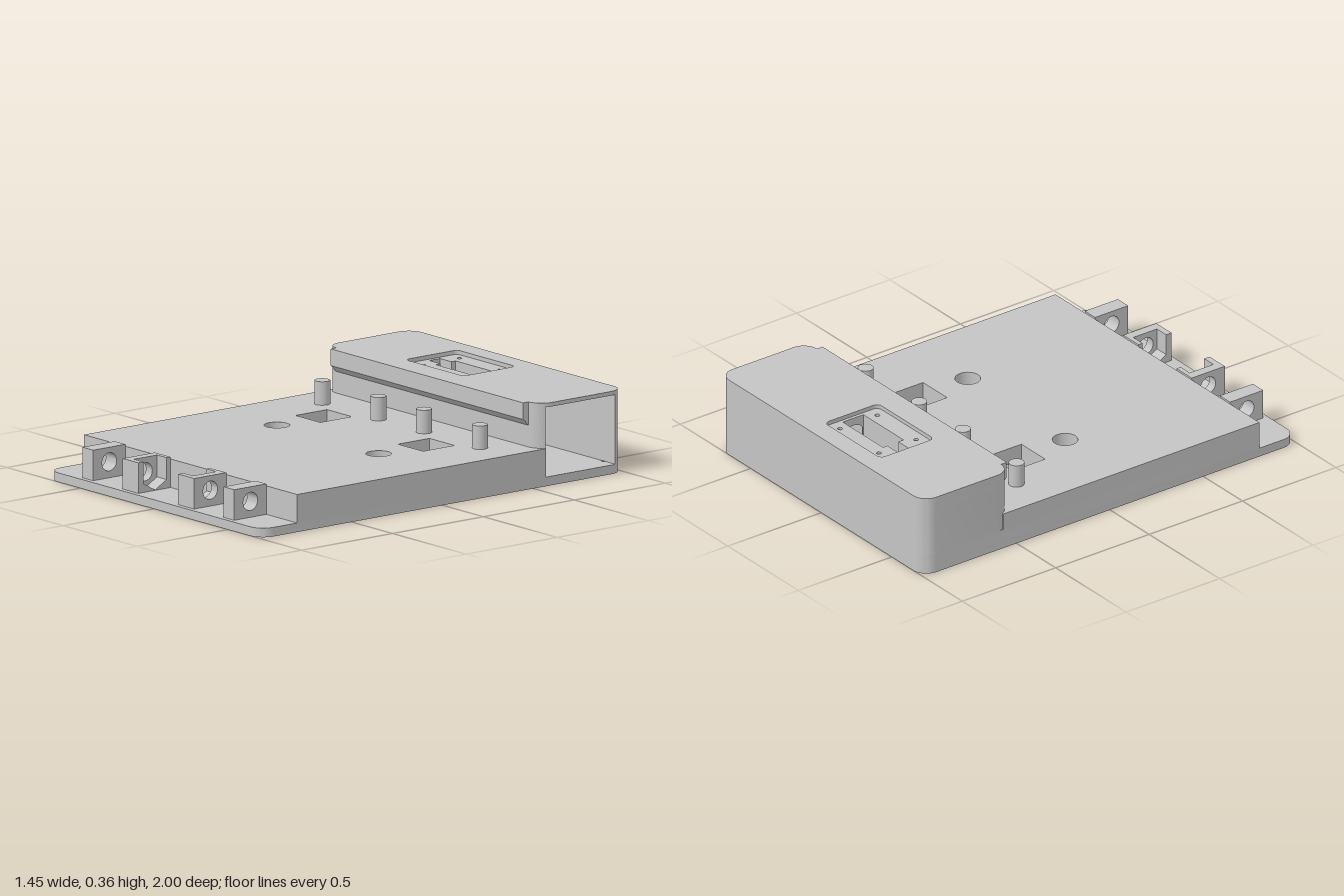
import * as THREE from 'three';
import { toCreasedNormals } from 'three/addons/utils/BufferGeometryUtils.js';

const grey = new THREE.MeshStandardMaterial({ color: 0xc4c4c4 });
grey.name = 'grey plastic';

// Plan outlines are given as [x, z], side profiles as [z, y]
const plan = (pts) => pts.map(([x, z]) => new THREE.Vector2(x, -z));
const side = (pts) => pts.map(([z, y]) => new THREE.Vector2(-z, y));
const rect = (x0, x1, z0, z1) => [[x0, z0], [x1, z0], [x1, z1], [x0, z1]];

// Points of an arc, angles in degrees
function arc(cx, cy, r, a0, a1, n = 10) {
  return Array.from({ length: n + 1 }, (_, i) => {
    const a = THREE.MathUtils.degToRad(a0 + ((a1 - a0) * i) / n);
    return [cx + r * Math.cos(a), cy + r * Math.sin(a)];
  });
}
const circle = (cx, cy, r, n = 32) => arc(cx, cy, r, 0, 360, n).slice(0, n);
const roundRect = (x0, x1, z0, z1, r) => [
  ...arc(x1 - r, z1 - r, r, 0, 90), ...arc(x0 + r, z1 - r, r, 90, 180),
  ...arc(x0 + r, z0 + r, r, 180, 270), ...arc(x1 - r, z0 + r, r, 270, 360),
];

export function createModel() {
  const model = new THREE.Group();
  model.name = 'enclosureBase';

  // Outlines run counter-clockwise so that hole walls face into the holes
  function extrude(name, outline, holes, depth) {
    if (THREE.ShapeUtils.isClockWise(outline)) outline.reverse();
    const shape = new THREE.Shape(outline);
    shape.holes = holes.map((h) => new THREE.Path(h));
    const geo = new THREE.ExtrudeGeometry(shape, { depth, bevelEnabled: false });
    const mesh = new THREE.Mesh(geo, grey);
    mesh.name = name;
    model.add(mesh);
    return mesh;
  }
  // Horizontal slab from y0 to y1
  function slab(name, outline, y0, y1, holes = []) {
    const m = extrude(name, plan(outline), holes.map(plan), y1 - y0);
    m.geometry.rotateX(-Math.PI / 2).translate(0, y0, 0);
    m.geometry = toCreasedNormals(m.geometry, 0.5);
  }
  // Side profile swept from x0 to x1
  function sweep(name, profile, x0, x1, holes = []) {
    const m = extrude(name, side(profile), holes.map(side), x1 - x0);
    m.geometry.rotateY(Math.PI / 2).translate(x0, 0, 0);
    m.geometry = toCreasedNormals(m.geometry, 0.5);
  }

  const W = 0.723, R = 0.07, C = W - R;

  // Square windows joined by a cable channel that runs back under the housing
  const channel = [
    [-0.435, -0.13], [-0.435, -0.303], [-0.277, -0.303], [-0.277, -0.85], [-0.2, -0.85],
    [-0.2, -0.25], [0.26, -0.25], [0.26, -0.303], [0.43, -0.303], [0.43, -0.13],
    [0.26, -0.13], [0.26, -0.19], [-0.267, -0.19], [-0.267, -0.13],
  ];
  const windows = [rect(-0.435, -0.267, -0.303, -0.13), rect(0.26, 0.43, -0.303, -0.13)];
  const sockets = [-0.345, 0.345].map((x) => circle(x, 0.045, 0.055));
  const screws = [[0.64, -0.95], [-0.64, -0.95], [0.64, -0.19], [-0.64, -0.19],
    [0.64, 0.67], [-0.64, 0.67], [0, 0.3]].map(([x, z]) => circle(x, z, 0.009, 10));

  // Base plate and deck, the lower deck layer running on under the housing block
  const backCorners = [...arc(-C, -1 + R, R, 180, 270), ...arc(C, -1 + R, R, 270, 343)];
  slab('basePlate', roundRect(-W, W, -1, 1, R), 0, 0.04, [channel, ...screws]);
  slab('deckLower', [[W, 0.8], [-W, 0.8], ...backCorners, [0.1, -0.95], [0.1, -0.57], [W, -0.57]],
    0.04, 0.09, [channel, ...sockets]);
  slab('deckUpper', rect(-W, W, -0.57, 0.8), 0.09, 0.165, [...windows, ...sockets]);

  // Rear housing: solid on one half with a slot and cable notch, open bay at the +x end
  const housing = [
    ...arc(C, -0.53 - R, R, 25, 90), ...arc(-C, -0.53 - R, R, 90, 180), ...backCorners,
    [0.09, -0.95], [0.09, -0.82], [-0.2, -0.82], [-0.2, -0.797], [-0.277, -0.797],
    [-0.277, -0.738], [-0.2, -0.738], [-0.2, -0.71], [0.09, -0.71], [0.09, -0.57],
  ];
  const lidScrews = [];
  for (const x of [-0.23, 0.045]) for (const z of [-0.865, -0.665]) lidScrews.push(circle(x, z, 0.011, 12));
  slab('housingLower', housing, 0.09, 0.3);
  slab('housingUpper', housing, 0.3, 0.345, lidScrews);

  // Lid with a recess, and the overhanging lip along its front
  slab('lid', roundRect(-W, W, -1, -0.53, R), 0.345, 0.363, [roundRect(-0.297, 0.1, -0.907, -0.62, 0.025)]);
  sweep('lidLip', [[-0.54, 0.363], [-0.5, 0.363], [-0.5, 0.29], [-0.53, 0.26], [-0.54, 0.26]], -C, C);

  // Round-bottomed trough in the slot, and the bay wall with its round opening
  sweep('trough', [[-0.71, 0.09], ...arc(-0.765, 0.25, 0.055, 0, -180, 20), [-0.82, 0.09]], -0.2, 0.085);
  sweep('troughEnd', [[-0.71, 0.09], [-0.71, 0.345], [-0.82, 0.345], [-0.82, 0.09]], 0.085, 0.09,
    [[...arc(-0.762, 0.25, 0.06, 37, 143), ...arc(-0.762, 0.25, 0.06, 217, 323)]]);
  sweep('bayWall', [[-0.57, 0.04], [-0.57, 0.345], [-0.95, 0.345], [-0.95, 0.04]], 0.09, 0.1,
    [circle(-0.762, 0.25, 0.066)]);

  // Posts on the deck
  for (const x of [-0.537, -0.157, 0.153, 0.533]) {
    const post = new THREE.Mesh(new THREE.CylinderGeometry(0.034, 0.034, 0.11, 28), grey);
    post.name = 'post';
    post.position.set(x, 0.213, -0.36);
    model.add(post);
  }

  // Hinge lugs: plain outer ones, inner ones with a nut pocket on the inward side
  const lug = [[0.8, 0.04], [0.977, 0.04], [0.977, 0.174], [0.8, 0.174]];
  const pin = circle(0.888, 0.11, 0.04);
  const pocketLug = [[0.8, 0.04], [0.977, 0.04], [0.977, 0.174], [0.948, 0.174], [0.948, 0.078],
    [0.885, 0.042], [0.822, 0.078], [0.822, 0.174], [0.8, 0.174]];
  for (const s of [-1, 1]) {
    const mirrored = (name, profile, a, b, holes) =>
      sweep(name, profile, Math.min(s * a, s * b), Math.max(s * a, s * b), holes);
    mirrored('outerLug', lug, 0.442, 0.515, [pin]);
    mirrored('innerLug', lug, 0.2, 0.243, [pin]);
    mirrored('nutPocket', pocketLug, 0.135, 0.2);
  }
  return model;
}
